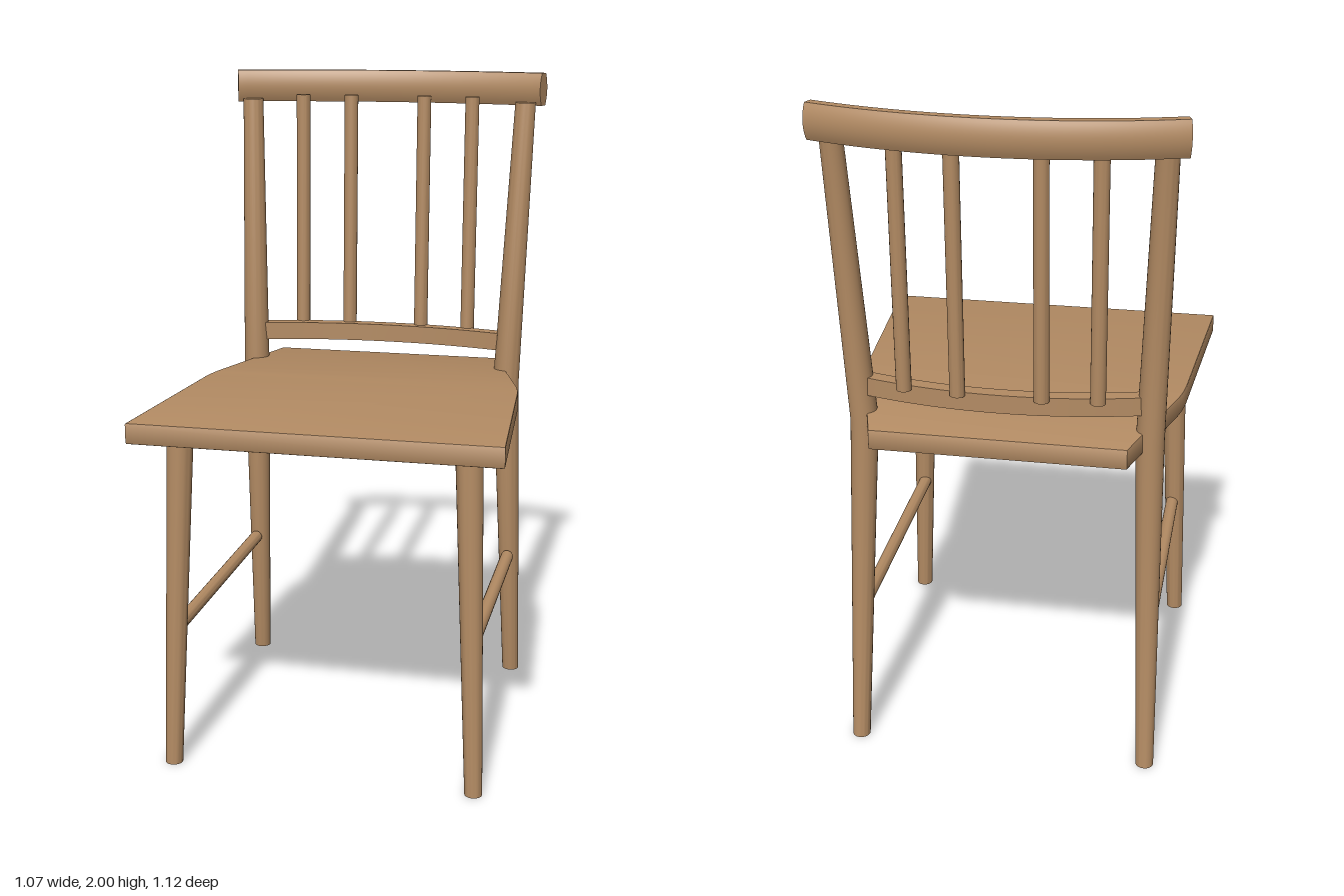
import * as THREE from 'three';
import { toCreasedNormals } from 'three/addons/utils/BufferGeometryUtils.js';

const wood = new THREE.MeshStandardMaterial({ color: 0xb48c64 });

function addPart(group, name, geometry) {
  const mesh = new THREE.Mesh(toCreasedNormals(geometry, 0.6), wood);
  mesh.name = name;
  group.add(mesh);
  return mesh;
}

// Round pole through level rings [x, y, z, radius], listed from top to bottom
function pole(rings, sides = 28) {
  const n = rings.length - 1;
  const geo = new THREE.CylinderGeometry(1, 1, 1, sides, n);
  const p = geo.attributes.position;
  for (let i = 0; i < p.count; i++) {
    const [x, y, z, r] = rings[Math.round((0.5 - p.getY(i)) * n)];
    p.setXYZ(i, x + p.getX(i) * r, y, z + p.getZ(i) * r);
  }
  return geo;
}

// Sweeps a section (x = towards the back, y = up) along an arc bowed to the back
function bentRail(section, length, radius, y, zMiddle) {
  const geo = new THREE.ExtrudeGeometry(section, {
    depth: length, steps: 32, bevelEnabled: false, curveSegments: 10,
  });
  const p = geo.attributes.position;
  for (let i = 0; i < p.count; i++) {
    const a = (p.getZ(i) - length / 2) / radius;
    const r = radius + p.getX(i);
    p.setXYZ(i, r * Math.sin(a), y + p.getY(i), zMiddle + radius - r * Math.cos(a));
  }
  return geo;
}

// Seat board, narrowing towards the back
function seatGeometry() {
  const bevel = 0.005;
  const s = new THREE.Shape();
  s.moveTo(-0.53, -0.55);
  s.lineTo(0.53, -0.55);
  s.lineTo(0.489, 0.02);
  s.quadraticCurveTo(0.484, 0.085, 0.466, 0.14);
  s.lineTo(0.363, 0.482);
  s.lineTo(-0.363, 0.482);
  s.lineTo(-0.466, 0.14);
  s.quadraticCurveTo(-0.484, 0.085, -0.489, 0.02);
  s.closePath();
  const geo = new THREE.ExtrudeGeometry(s, {
    depth: 0.052, bevelEnabled: true, bevelThickness: bevel, bevelSize: bevel,
    bevelSegments: 2, curveSegments: 10,
  });
  geo.rotateX(-Math.PI / 2);
  geo.translate(0, 1.015 + bevel, 0);
  return geo;
}

export function createModel() {
  const chair = new THREE.Group();
  chair.name = 'chair';

  addPart(chair, 'seat', seatGeometry());

  for (const [side, m] of [['left', 1], ['right', -1]]) {
    // Legs; the back one bends at the seat and carries on as the back post
    addPart(chair, side + 'FrontLeg', pole([
      [m * 0.419, 1.02, 0.425, 0.039], [m * 0.455, 0, 0.461, 0.026],
    ]));
    addPart(chair, side + 'BackLeg', pole([
      [m * 0.443, 1.91, -0.442, 0.032],
      [m * 0.416, 1.04, -0.344, 0.041],
      [m * 0.443, 0, -0.447, 0.027],
    ]));

    // Side stretcher between the legs
    const bar = new THREE.CylinderGeometry(0.02, 0.02, 0.78, 20);
    bar.rotateX(Math.PI / 2);
    bar.translate(m * 0.433, 0.435, 0.034);
    addPart(chair, side + 'Stretcher', bar);

    // Back spindles, leaning slightly backwards
    for (const [name, x, zTop, zBottom] of [
      ['OuterSpindle', 0.275, -0.443, -0.42],
      ['InnerSpindle', 0.119, -0.455, -0.432],
    ]) {
      addPart(chair, side + name, pole([
        [m * x, 1.925, zTop, 0.022], [m * x, 1.18, zBottom, 0.022],
      ], 20));
    }
  }

  // Top rail with bulging front and back faces
  const crest = new THREE.Shape();
  crest.moveTo(-0.014, -0.05);
  crest.lineTo(0.014, -0.05);
  crest.quadraticCurveTo(0.038, 0, 0.014, 0.05);
  crest.lineTo(-0.014, 0.05);
  crest.quadraticCurveTo(-0.038, 0, -0.014, -0.05);
  addPart(chair, 'topRail', bentRail(crest, 1.012, 1.55, 1.95, -0.535));

  // Flat lower rail between the back posts
  const flat = new THREE.Shape();
  flat.moveTo(-0.021, -0.0275);
  flat.lineTo(0.021, -0.0275);
  flat.lineTo(0.021, 0.0275);
  flat.lineTo(-0.021, 0.0275);
  flat.closePath();
  addPart(chair, 'lowerRail', bentRail(flat, 0.79, 1.47, 1.1625, -0.416));

  return chair;
}
